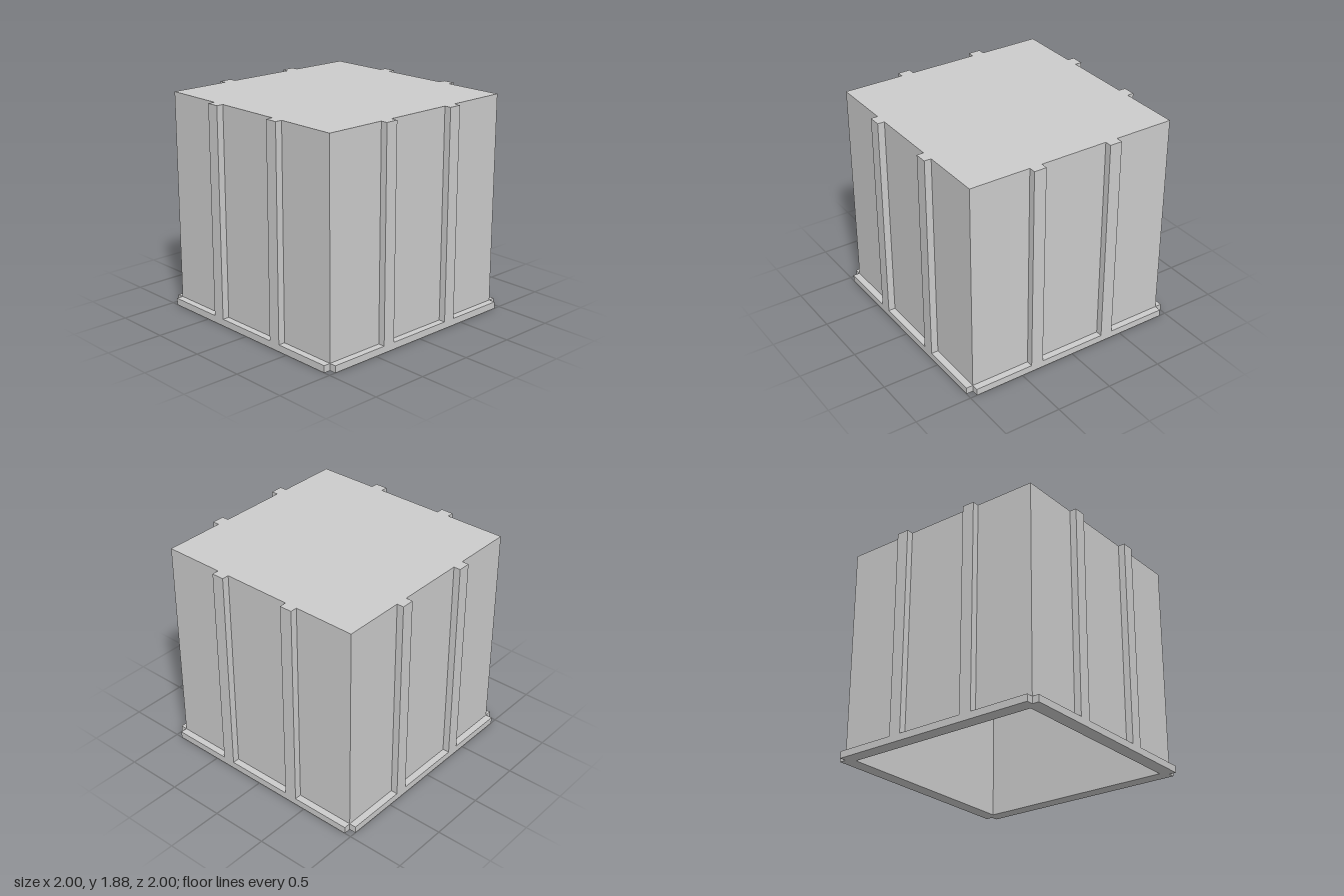
import * as THREE from 'three';

const BODY = 0.94;   // half width of the box walls
const OUTER = 1;     // half width over ribs and base rail
const INNER = 0.88;  // half width of the hollow
const HEIGHT = 1.88;
const PLATE = 0.06;  // rail height and lid thickness

// Square plan with the same raised spans [from, to] on all four sides
function plan(spans, hollow) {
  const side = [];
  if (spans[0][0] > -BODY) side.push([-BODY, -BODY]);
  for (const [a, b] of spans) side.push([a, -BODY], [a, -OUTER], [b, -OUTER], [b, -BODY]);

  const points = [];
  for (let i = 0; i < 4; i++) {
    for (const [x, y] of side) {
      // the last point of a full-length span starts the next side
      points.push(new THREE.Vector2(x, y).rotateAround(new THREE.Vector2(), i * Math.PI / 2));
    }
  }
  const unique = points.filter((p, i) => p.distanceTo(points[(i + 1) % points.length]) > 1e-4);
  const shape = new THREE.Shape(unique);
  if (hollow) {
    const h = INNER;
    shape.holes.push(new THREE.Path([
      new THREE.Vector2(-h, -h), new THREE.Vector2(-h, h),
      new THREE.Vector2(h, h), new THREE.Vector2(h, -h),
    ]));
  }
  return shape;
}

export function createModel() {
  const model = new THREE.Group();
  model.name = 'ribbedBox';
  const material = new THREE.MeshStandardMaterial({ color: 0xcccccc });

  // Extrude a plan upwards between two heights
  const slab = (name, shape, y0, y1) => {
    const geometry = new THREE.ExtrudeGeometry(shape, { depth: y1 - y0, bevelEnabled: false });
    geometry.rotateX(-Math.PI / 2).translate(0, y0, 0);
    const mesh = new THREE.Mesh(geometry, material);
    mesh.name = name;
    model.add(mesh);
  };

  const ribs = [[-0.41, -0.3], [0.3, 0.41]];
  slab('baseRail', plan([[-BODY, BODY]], true), 0, PLATE);
  slab('ribbedWalls', plan(ribs, true), PLATE, HEIGHT - PLATE);
  slab('lid', plan(ribs, false), HEIGHT - PLATE, HEIGHT);

  return model;
}
